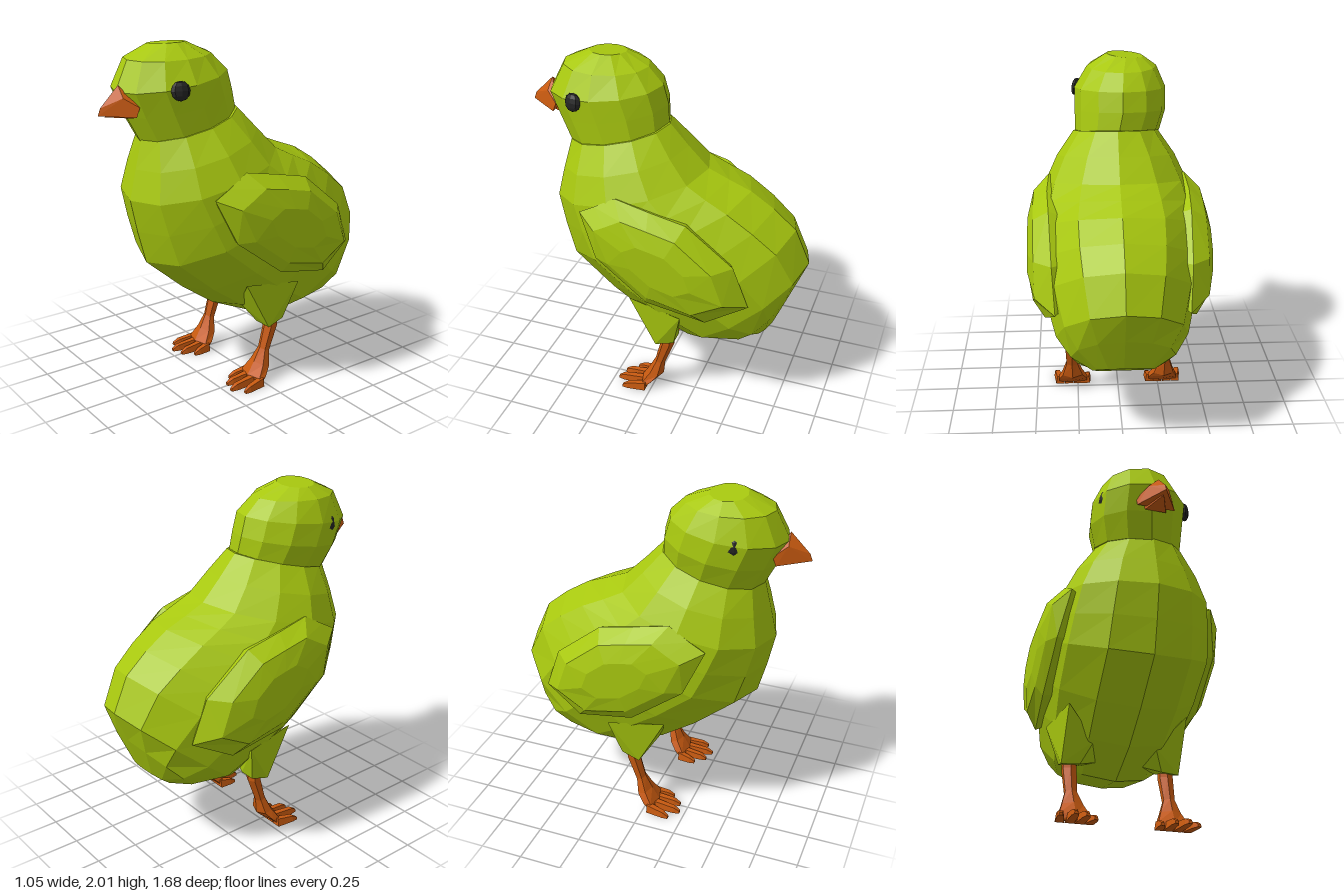
import * as THREE from 'three';
import { ConvexGeometry } from 'three/addons/geometries/ConvexGeometry.js';

const V = (x, y, z) => new THREE.Vector3(x, y, z);
const material = (color) => new THREE.MeshStandardMaterial({ color, flatShading: true });

// Ring through a front and a back point [z, y], w half as wide; tilt lifts its left side
function ring([zf, yf], [zb, yb], w, cx = 0, sides = 12, tilt = 0) {
  return Array.from({ length: sides }, (_, i) => {
    const a = (i / sides) * Math.PI * 2, c = Math.cos(a), s = Math.sin(a);
    return V(cx + w * s, (yf + yb) / 2 + ((yf - yb) / 2) * c + tilt * s, (zf + zb) / 2 + ((zf - zb) / 2) * c);
  });
}

// Closed, faceted skin over a row of rings, always wound to face outward
function loft(rings) {
  const tris = [], n = rings[0].length;
  for (let r = 0; r < rings.length - 1; r++) {
    for (let i = 0; i < n; i++) {
      const j = (i + 1) % n, a = rings[r], b = rings[r + 1];
      tris.push([a[i], a[j], b[j]], [a[i], b[j], b[i]]);
    }
  }
  const middle = (pts) => pts.reduce((m, p) => m.add(p), V(0, 0, 0)).divideScalar(n);
  const first = rings[0], last = rings[rings.length - 1];
  const m0 = middle(first), m1 = middle(last);
  for (let i = 0; i < n; i++) {
    const j = (i + 1) % n;
    tris.push([first[j], first[i], m0], [last[i], last[j], m1]);
  }
  const volume = tris.reduce((v, [a, b, c]) => v + a.dot(b.clone().cross(c)), 0);
  const pts = tris.flatMap(([a, b, c]) => (volume < 0 ? [a, c, b] : [a, b, c]));
  const geometry = new THREE.BufferGeometry().setFromPoints(pts);
  geometry.computeVertexNormals();
  return geometry;
}

export function createModel() {
  const model = new THREE.Group();
  model.name = 'chick';
  const green = material(0xa8c80f), orange = material(0xc85a10), black = material(0x242424);
  const add = (name, geometry, mat, parent = model) => {
    const mesh = new THREE.Mesh(geometry, mat);
    mesh.name = name;
    parent.add(mesh);
    return mesh;
  };

  // Body, from tail to neck
  add('body', loft([
    ring([-0.54, 0.41], [-0.68, 0.5], 0.17),
    ring([-0.43, 0.36], [-0.765, 0.71], 0.29),
    ring([-0.13, 0.31], [-0.84, 0.9], 0.37),
    ring([0.13, 0.43], [-0.75, 1.1], 0.43),
    ring([0.34, 0.58], [-0.62, 1.21], 0.46),
    ring([0.58, 0.79], [-0.48, 1.3], 0.47),
    ring([0.63, 0.98], [-0.35, 1.35], 0.45),
    ring([0.67, 1.17], [-0.23, 1.4], 0.42),
    ring([0.63, 1.34], [-0.11, 1.52], 0.35),
    ring([0.59, 1.5], [0, 1.64], 0.25),
  ]), green);

  // Head, slightly cocked to one side
  add('head', loft([
    ring([0.59, 1.49], [0.01, 1.64], 0.25, -0.01),
    ring([0.66, 1.63], [0.02, 1.74], 0.27, -0.03),
    ring([0.72, 1.77], [0.05, 1.85], 0.27, -0.03),
    ring([0.64, 1.93], [0.14, 1.94], 0.205, -0.04),
    ring([0.49, 2.0], [0.28, 2.0], 0.11, -0.06, 12, 0.01),
  ]), green);

  // Beak with a small lower bill
  add('upperBeak', new ConvexGeometry([
    V(-0.01, 1.81, 0.715), V(-0.07, 1.75, 0.72), V(0.05, 1.75, 0.72),
    V(-0.12, 1.65, 0.67), V(0.1, 1.65, 0.67), V(-0.12, 1.7, 0.65), V(0.1, 1.7, 0.65),
    V(-0.01, 1.7, 0.825), V(-0.01, 1.66, 0.84),
  ]), orange);
  add('lowerBeak', new ConvexGeometry([
    V(-0.08, 1.68, 0.64), V(0.06, 1.68, 0.64), V(-0.07, 1.635, 0.66), V(0.05, 1.635, 0.66),
    V(-0.01, 1.65, 0.8), V(-0.01, 1.67, 0.78),
  ]), orange);

  for (const s of [1, -1]) {
    const side = s > 0 ? 'left' : 'right';

    // Eye
    const eye = add(side + 'Eye', new THREE.SphereGeometry(0.053, 8, 6), black);
    eye.scale.x = 0.5;
    eye.rotation.set(0, -s * 0.25, s * 0.15);
    eye.position.set(s > 0 ? 0.23 : -0.255, 1.79, 0.48);

    // Wing: rim lying on the body, rising to a domed plateau
    const rim = [
      [0.41, 1.22, 0.39], [0.41, 1.27, 0.3], [0.4, 1.34, 0.18], [0.41, 1.3, -0.02], [0.4, 1.25, -0.23],
      [0.385, 1.03, -0.5], [0.37, 0.78, -0.59], [0.43, 0.66, -0.36], [0.465, 0.74, -0.02], [0.46, 0.97, 0.28],
    ].map(([x, y, z]) => V(x * s, y, z));
    const scaled = (k, x, mix) => rim.map((p) =>
      V(THREE.MathUtils.lerp(p.x, x * s, mix), 1 + (p.y - 1) * k, -0.1 + (p.z + 0.1) * k));
    add(side + 'Wing', loft([scaled(0.85, 0.3, 1), rim, scaled(0.76, 0.52, 0.75), scaled(0.4, 0.525, 1)]), green);

    // Feathered thigh
    add(side + 'Thigh', new ConvexGeometry([
      [0.345, 0.65, 0.13], [0.4, 0.62, -0.2], [0.18, 0.47, 0.06], [0.1, 0.4, -0.08],
      [0.345, 0.35, -0.03], [0.24, 0.355, -0.02], [0.335, 0.38, -0.14], [0.24, 0.38, -0.14],
    ].map(([x, y, z]) => V(x * s, y, z))), green);

    // Leg, flaring into the foot
    const leg = new THREE.Group();
    leg.name = side + 'Leg';
    model.add(leg);
    add('shank', loft([
      ring([0.07, 0.005], [0.03, 0.01], 0.1, s * 0.28, 6),
      ring([0.075, 0.045], [-0.02, 0.05], 0.1, s * 0.28, 6),
      ring([0.03, 0.12], [-0.06, 0.09], 0.07, s * 0.282, 6),
      ring([-0.01, 0.2], [-0.07, 0.18], 0.038, s * 0.285, 6),
      ring([-0.045, 0.34], [-0.13, 0.34], 0.045, s * 0.285, 6),
      ring([-0.05, 0.42], [-0.13, 0.42], 0.04, s * 0.285, 6),
    ]), orange, leg);

    // Four spread toes
    [[0.2, 0.185, 0.14], [0.25, 0.245, 0.2], [0.305, 0.315, 0.22], [0.36, 0.385, 0.17]].forEach(([x0, x1, z1], i) => {
      const cross = (x, z, w, h) => [[-w, 0], [w, 0], [w * 0.7, h], [-w * 0.7, h]].map(([dx, y]) => V((x + dx) * s, y, z));
      const xm = THREE.MathUtils.lerp(x0, x1, 0.75);
      add('toe' + (i + 1), loft([
        cross(x0, 0.03, 0.026, 0.05), cross(xm, z1 - 0.035, 0.02, 0.035), cross(x1, z1, 0.011, 0.016),
      ]), orange, leg);
    });
  }
  return model;
}
